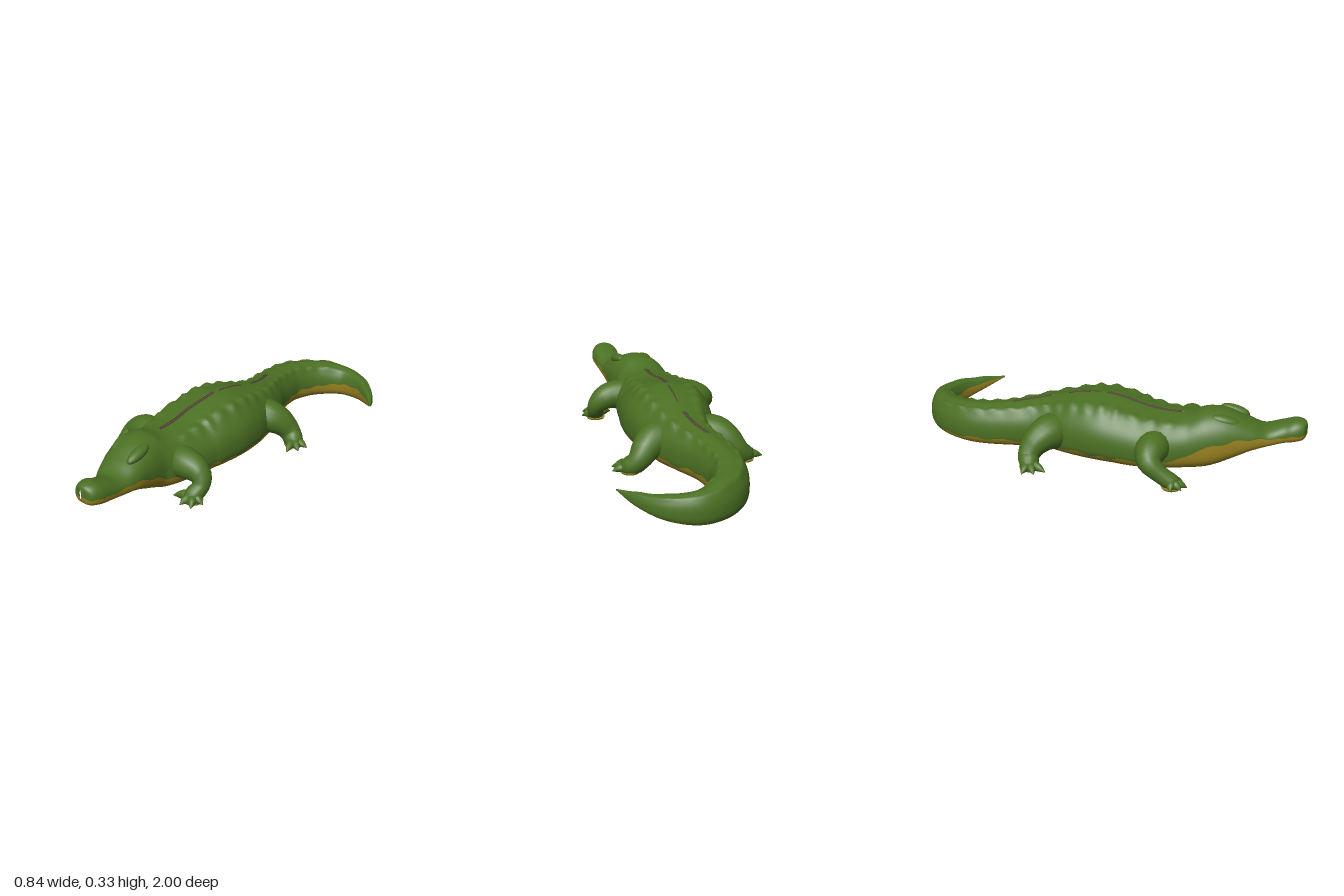
import * as THREE from 'three';

const mat = (name, color, side = THREE.FrontSide) => {
  const m = new THREE.MeshStandardMaterial({ color, side });
  m.name = name;
  return m;
};

// Skin closed rings of points; the first `split` columns get material 0, the rest material 1
function loft(rings, split) {
  const n = rings[0].length, pos = [], groups = [[], []];
  rings.forEach(r => r.forEach(p => pos.push(p.x, p.y, p.z)));
  for (let i = 0; i < rings.length - 1; i++) {
    for (let j = 0; j < n; j++) {
      const k = (j + 1) % n;
      const a = i * n + j, b = i * n + k, c = a + n, d = b + n;
      groups[j < split ? 0 : 1].push(a, c, b, b, c, d);
    }
  }
  const g = new THREE.BufferGeometry();
  g.setAttribute('position', new THREE.Float32BufferAttribute(pos, 3));
  g.setIndex([...groups[0], ...groups[1]]);
  g.addGroup(0, groups[0].length, 0);
  g.addGroup(groups[0].length, groups[1].length, 1);
  g.computeVertexNormals();
  return g;
}

// Round tube through points [x, y, z, radius], kept above the ground, with rounded ends
function limbGeometry(pts, steps = 20, sides = 16) {
  const curve = new THREE.CatmullRomCurve3(pts.map(p => new THREE.Vector3(p[0], p[1], p[2])));
  const radii = new THREE.CatmullRomCurve3(pts.map(p => new THREE.Vector3(p[3], 0, 0)), false, 'catmullrom');
  const frames = curve.computeFrenetFrames(steps);
  const rings = [];
  const ring = (t, i, scale, push) => {
    const c = curve.getPoint(t), r = radii.getPoint(t).x;
    c.addScaledVector(curve.getTangent(t), push * r);
    rings.push(Array.from({ length: sides }, (_, j) => {
      const a = j / sides * Math.PI * 2;
      const p = c.clone().addScaledVector(frames.normals[i], Math.cos(a) * r * scale)
        .addScaledVector(frames.binormals[i], -Math.sin(a) * r * scale);
      p.y = Math.max(p.y, 0.008);
      return p;
    }));
  };
  for (let i = 0; i <= steps; i++) ring(i / steps, i, 1, 0);
  for (const a of [0.5, 1, 1.57]) ring(1, steps, Math.max(Math.cos(a), 0.001), Math.sin(a));
  return loft(rings, sides);
}

// Snout to tail tip: x, z, half width
const SPINE = [
  [.095, 1, .004], [.095, .985, .052], [.095, .94, .073], [.09, .88, .075], [.07, .8, .088],
  [.045, .72, .112], [.015, .62, .132], [-.01, .52, .148], [-.015, .42, .17], [-.025, .3, .2],
  [-.033, .2, .217], [-.027, .1, .225], [-.025, 0, .225], [-.025, -.12, .205], [-.03, -.25, .165],
  [-.055, -.37, .125], [-.095, -.48, .106], [-.12, -.6, .099], [-.122, -.7, .092], [-.085, -.81, .087],
  [-.02, -.89, .077], [.07, -.94, .06], [.16, -.935, .05], [.25, -.895, .039], [.34, -.815, .022], [.41, -.73, .002],
];
// Back height, belly height, belly colour edge on the left, on the right
const HEIGHT = [
  [.23, .185, .198, .198], [.25, .158, .19, .19], [.257, .145, .19, .19], [.237, .135, .178, .178], [.215, .12, .17, .175],
  [.25, .1, .165, .185], [.295, .055, .13, .18], [.3, .015, .09, .15], [.266, .003, .08, .09], [.266, .001, .075, .075],
  [.285, 0, .075, .075], [.306, 0, .07, .07], [.318, 0, .07, .07], [.305, 0, .075, .07], [.272, .002, .07, .065],
  [.245, .005, .06, .06], [.228, .006, .07, .06], [.216, .006, .075, .06], [.21, .006, .08, .055], [.197, .008, .08, .045],
  [.188, .01, .085, .035], [.172, .015, .09, .032], [.16, .025, .1, .04], [.147, .043, .108, .055], [.135, .075, .113, .085], [.122, .116, .12, .118],
];

const spine = new THREE.CatmullRomCurve3(SPINE.map(p => new THREE.Vector3(...p)), false, 'catmullrom');
const backBelly = new THREE.CatmullRomCurve3(HEIGHT.map(h => new THREE.Vector3(h[0], h[1], 0)), false, 'catmullrom');
const edges = new THREE.CatmullRomCurve3(HEIGHT.map(h => new THREE.Vector3(h[2], h[3], 0)), false, 'catmullrom');
const WIDEST = 0.4, UPPER = 2.2, LOWER = 2.8, GREEN = 32, BELLY = 16;

function station(s) {
  const p = spine.getPoint(s);
  const d = spine.getPoint(Math.min(s + .004, 1)).sub(spine.getPoint(Math.max(s - .004, 0)));
  const l = Math.hypot(d.x, d.y);
  const h = backBelly.getPoint(s);
  return { x: p.x, z: p.y, w: Math.max(p.z, .001), lx: -d.y / l, lz: d.x / l, top: h.x, bot: h.y, edge: edges.getPoint(s) };
}

// Angle on the section at which the belly colour begins
function edgeAngle(st, y) {
  const v = THREE.MathUtils.clamp((y - st.bot) / (st.top - st.bot), .02, .9);
  return v > WIDEST ? Math.asin(((v - WIDEST) / (1 - WIDEST)) ** (UPPER / 2))
    : -Math.asin(((WIDEST - v) / WIDEST) ** (LOWER / 2));
}

function sectionPoint(st, a) {
  const c = Math.cos(a), s = Math.sin(a), e = 2 / (s >= 0 ? UPPER : LOWER);
  const u = Math.sign(c) * Math.abs(c) ** e;
  const h = st.top - st.bot;
  let y = st.bot + h * (s >= 0 ? WIDEST + (1 - WIDEST) * s ** e : WIDEST * (1 - (-s) ** e));
  // Rows of bony ridges along the back
  if (s > 0 && st.z < .45) {
    const fade = Math.min(1, (.45 - st.z) * 8);
    const bumps = .7 + .3 * Math.sin(st.z * 75);
    y += fade * h * (.075 * bumps * Math.exp(-(((Math.abs(u) - .6) / .12) ** 2)) + .012 * bumps * Math.exp(-((u / .1) ** 2)));
  }
  return new THREE.Vector3(st.x + st.lx * u * st.w, y, st.z + st.lz * u * st.w);
}

export function createModel() {
  const model = new THREE.Group();
  model.name = 'crocodile';
  const green = mat('greenHide', 0x4b7023), yellow = mat('yellowBelly', 0x978020);
  const brown = mat('brownRidge', 0x5e4c40);
  const add = (name, geo, material, parent = model) => {
    const m = new THREE.Mesh(geo, material);
    m.name = name;
    parent.add(m);
    return m;
  };

  // Head, trunk and curled tail in one skin
  const stations = Array.from({ length: 241 }, (_, i) => station(i / 240));
  const rings = stations.map((st, i) => {
    const wave = .006 * Math.sin(i * .55) * Math.min(1, (st.top - st.bot) * 4);
    const a0 = edgeAngle(st, st.edge.x + wave), a1 = Math.PI - edgeAngle(st, st.edge.y - wave);
    const ring = [];
    for (let j = 0; j < GREEN; j++) ring.push(sectionPoint(st, a0 + (a1 - a0) * j / GREEN));
    for (let j = 0; j < BELLY; j++) ring.push(sectionPoint(st, a1 + (a0 + 2 * Math.PI - a1) * j / BELLY));
    return ring;
  });
  add('body', loft(rings, GREEN), [green, yellow]);

  // Thin strips along the spine
  for (const [from, to, half] of [[.41, .01, .01], [-.02, -.2, .004], [-.27, -.48, .009]]) {
    const strip = stations.filter(s => s.z <= from && s.z >= to).map(st => [[1, 0], [0, .004], [-1, 0], [0, -.004]].map(([u, v]) =>
      new THREE.Vector3(st.x + st.lx * u * half, st.top + .004 + v, st.z + st.lz * u * half)));
    add('spineStrip', loft(strip, 4), brown);
  }

  // Brow bumps over the eyes
  for (const [x, z, turn] of [[-.05, .62, .25], [.085, .64, .1]]) {
    const brow = add('brow', new THREE.SphereGeometry(1, 20, 14), green);
    brow.scale.set(.03, .026, .075);
    brow.position.set(x, .264, z);
    brow.rotation.set(.25, turn, 0);
  }

  // Legs: path with radii, then toe tips as [x, z]
  const legs = {
    frontRightLeg: [[[-.13, .13, .3, .085], [-.23, .145, .295, .08], [-.3, .12, .3, .06], [-.315, .07, .36, .044], [-.31, .03, .42, .042]],
      [[-.37, .43], [-.345, .475], [-.31, .495], [-.26, .46]]],
    frontLeftLeg: [[[.07, .13, .39, .085], [.17, .145, .4, .075], [.245, .12, .39, .058], [.265, .07, .41, .044], [.255, .03, .455, .044]],
      [[.325, .465], [.31, .525], [.25, .535], [.17, .495]]],
    rearRightLeg: [[[-.12, .12, -.22, .1], [-.2, .14, -.25, .088], [-.265, .1, -.3, .068], [-.3, .055, -.315, .055], [-.335, .03, -.3, .05]],
      [[-.425, -.305], [-.41, -.25], [-.375, -.205]]],
    rearLeftLeg: [[[.03, .12, -.23, .1], [.11, .14, -.25, .088], [.175, .1, -.3, .068], [.21, .055, -.315, .055], [.245, .03, -.3, .05]],
      [[.33, -.3], [.32, -.245], [.285, -.2]]],
  };
  for (const [name, [path, toes]] of Object.entries(legs)) {
    const leg = new THREE.Group();
    leg.name = name;
    model.add(leg);
    add('limb', limbGeometry(path), green, leg);
    const [fx, , fz] = path[path.length - 1];
    for (const [x, z] of toes) {
      const mx = fx + (x - fx) * .6, mz = fz + (z - fz) * .6;
      add('toe', limbGeometry([[fx, .03, fz, .026], [mx, .025, mz, .021], [x, .015, z, .004]], 10, 10), green, leg);
    }
    const sole = add('sole', new THREE.CylinderGeometry(.05, .046, .008, 20), yellow, leg);
    sole.position.set(fx, .004, fz);
  }
  return model;
}
